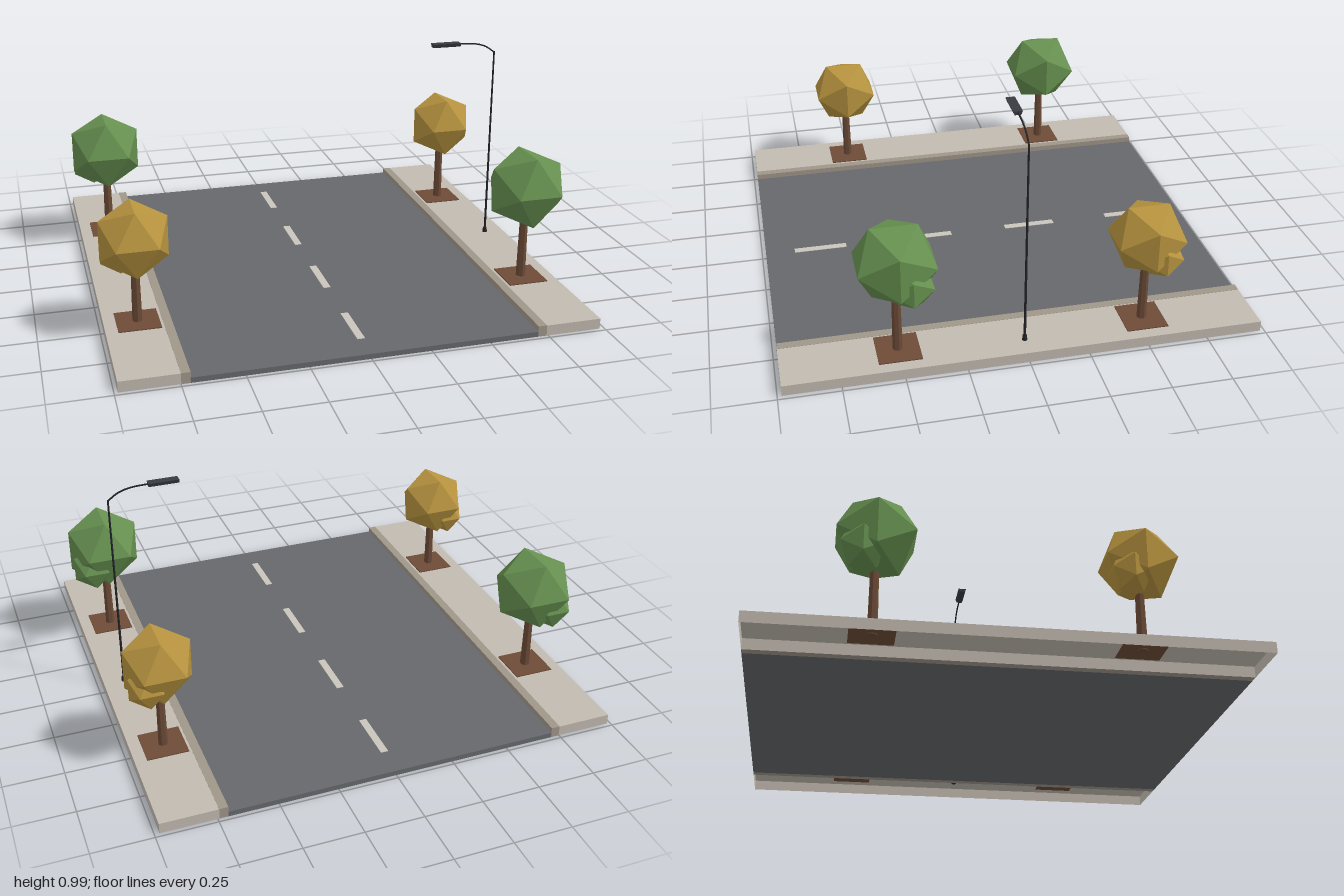
import * as THREE from 'three';

const mat = (name, color, extra = {}) => {
  const m = new THREE.MeshStandardMaterial({ color, ...extra });
  m.name = name;
  return m;
};

export function createModel() {
  const M = {
    asphalt: mat('asphalt', 0x66686c),
    pavement: mat('pavement', 0xc2bab0, { side: THREE.DoubleSide }),
    curb: mat('curb stone', 0xa0968a),
    paint: mat('lane paint', 0xc9c5bb),
    soil: mat('soil', 0x6e4c38),
    bark: mat('bark', 0x6a4a36, { flatShading: true }),
    green: mat('green leaves', 0x669050, { flatShading: true }),
    gold: mat('golden leaves', 0xb5923e, { flatShading: true }),
    pole: mat('dark metal', 0x232428),
    head: mat('lamp housing', 0x3a3b40),
  };
  const model = new THREE.Group();
  model.name = 'streetSection';

  const add = (parent, name, geo, material, x = 0, y = 0, z = 0) => {
    const mesh = new THREE.Mesh(geo, material);
    mesh.name = name;
    mesh.position.set(x, y, z);
    parent.add(mesh);
    return mesh;
  };
  // Box given by its lower face height and its height
  const box = (parent, name, material, w, h, d, x, y0, z) =>
    add(parent, name, new THREE.BoxGeometry(w, h, d), material, x, y0 + h / 2, z);

  // Road with dashed centre line
  const cx = -0.003, length = 1.965;
  box(model, 'road', M.asphalt, 1.42, 0.022, length, cx, 0, 0);
  for (let i = 0; i < 4; i++) {
    box(model, 'laneDash', M.paint, 0.032, 0.003, 0.235, cx, 0.021, -0.737 + i * 0.491);
  }

  // Pavements (open underneath) and curbs on both sides
  for (const s of [-1, 1]) {
    const geo = new THREE.BoxGeometry(0.237, 0.045, length);
    geo.groups = geo.groups.filter((g) => g.materialIndex !== 3);
    geo.groups.forEach((g) => { g.materialIndex = 0; });
    add(model, 'pavement', geo, [M.pavement], cx + s * 0.8645, 0.0225, 0);
    box(model, 'curb', M.curb, 0.037, 0.046, length, cx + s * 0.7275, 0, 0);
  }

  // Trees: soil square, trunk, main crown and a small outer leaf clump
  const makeTree = (x, z, crownY, r, leaves) => {
    const tree = new THREE.Group();
    tree.name = 'tree';
    tree.position.set(x, 0, z);
    box(tree, 'soilSquare', M.soil, 0.175, 0.006, 0.175, 0, 0.0435, 0);
    const h = crownY - 0.08 - 0.04;
    add(tree, 'trunk', new THREE.CylinderGeometry(0.017, 0.021, h, 7), M.bark, 0, 0.04 + h / 2, 0);
    const crown = add(tree, 'crown', new THREE.IcosahedronGeometry(r, 0), leaves, 0, crownY, 0);
    const clump = add(tree, 'leafClump', new THREE.IcosahedronGeometry(r * 0.56, 0), leaves,
      Math.sign(x) * r * 0.34, crownY - r * 0.41, -r * 0.28);
    crown.rotation.y = clump.rotation.y = Math.PI / 2;
    model.add(tree);
  };
  makeTree(-0.848, -0.51, 0.445, 0.178, M.green);
  makeTree(-0.848, 0.51, 0.408, 0.163, M.gold);
  makeTree(0.842, -0.51, 0.44, 0.163, M.gold);
  makeTree(0.842, 0.51, 0.462, 0.181, M.green);

  // Street lamp: foot, pole, curved arm and tapered housing
  const lamp = new THREE.Group();
  lamp.name = 'streetLamp';
  lamp.position.set(0.89, 0, 0);
  add(lamp, 'foot', new THREE.CylinderGeometry(0.009, 0.011, 0.022, 10), M.pole, 0, 0.055, 0);
  add(lamp, 'pole', new THREE.CylinderGeometry(0.004, 0.0055, 0.895, 8), M.pole, 0, 0.4875, 0);
  const path = new THREE.CatmullRomCurve3([
    [0, 0.932], [-0.045, 0.962], [-0.1, 0.977], [-0.19, 0.981],
  ].map(([x, y]) => new THREE.Vector3(x, y, 0)));
  add(lamp, 'arm', new THREE.TubeGeometry(path, 12, 0.0036, 6), M.pole);
  const headGeo = new THREE.BoxGeometry(0.13, 0.016, 0.038);
  const p = headGeo.attributes.position;
  for (let i = 0; i < p.count; i++) {
    if (p.getY(i) < 0) p.setZ(i, p.getZ(i) * 0.7);
  }
  headGeo.computeVertexNormals();
  add(lamp, 'lampHead', headGeo, M.head, -0.236, 0.98, 0);
  model.add(lamp);

  return model;
}
